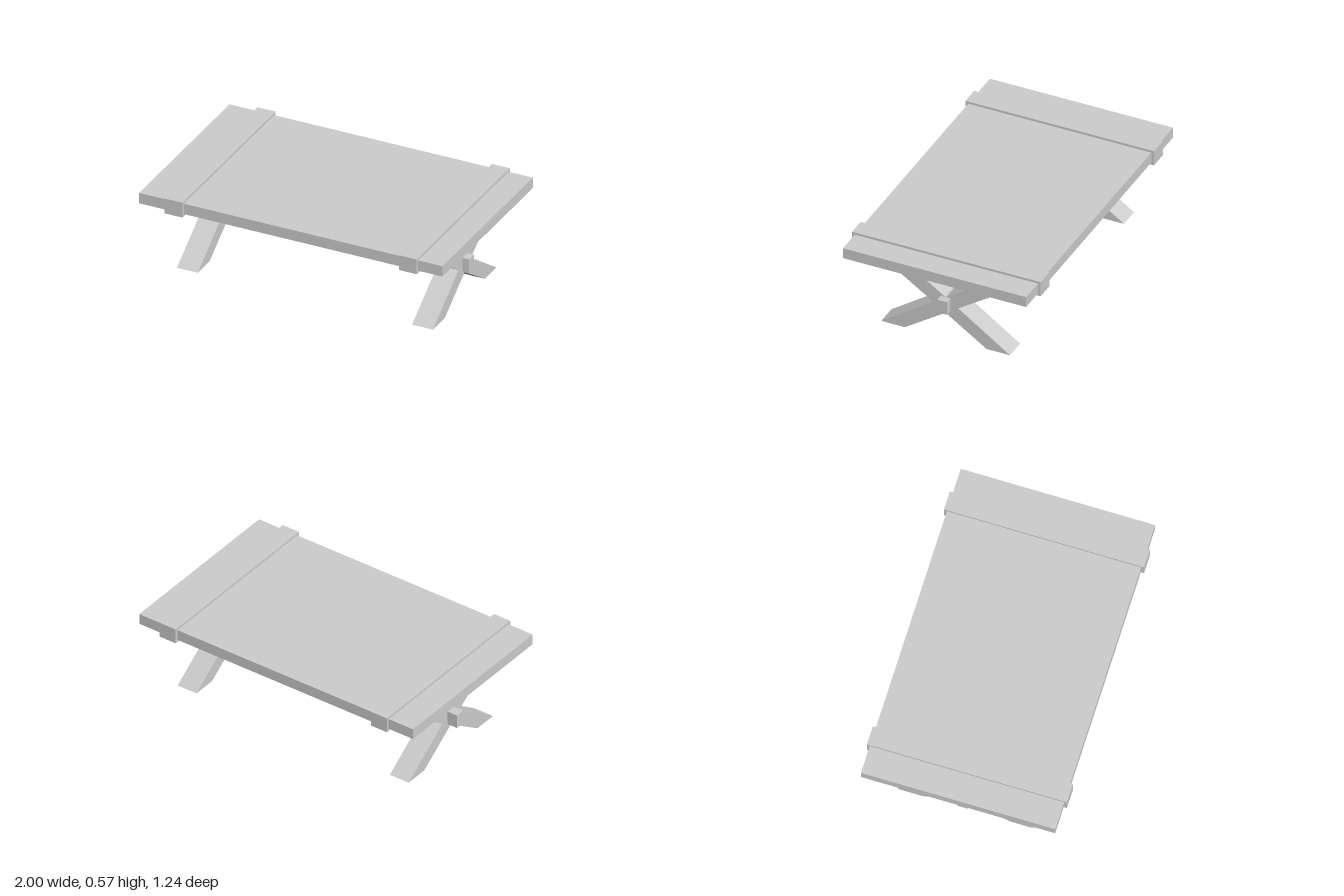
import * as THREE from 'three';

export function createModel() {
  const model = new THREE.Group();
  const grey = new THREE.MeshStandardMaterial({ color: 0xcccccc });
  grey.name = 'light grey';

  function add(name, geometry, x, y, z) {
    const mesh = new THREE.Mesh(geometry, grey);
    mesh.name = name;
    mesh.position.set(x, y, z);
    model.add(mesh);
  }

  // Table top
  add('tableTop', new THREE.BoxGeometry(2, 0.07, 1.2), 0, 0.52, 0);

  // Long beam through both crossed legs
  add('stretcher', new THREE.BoxGeometry(1.8, 0.09, 0.064), -0.006, 0.246, 0);

  // Crossed legs: half outline of the X as (z, y), mirrored to the other side
  const half = [[0, 0.18], [0.267, 0], [0.422, 0], [0.082, 0.235], [0.464, 0.488], [0.295, 0.488], [0, 0.29]];
  const mirrored = half.slice(1, -1).reverse().map(([z, y]) => [-z, y]);
  const outline = new THREE.Shape([...half, ...mirrored].map(([z, y]) => new THREE.Vector2(z, y)));
  const legWidth = 0.138;
  const legGeometry = new THREE.ExtrudeGeometry(outline, { depth: legWidth, bevelEnabled: false });
  legGeometry.translate(0, 0, -legWidth / 2).rotateY(-Math.PI / 2);

  // Each end has a pair of crossed legs and a band around the top
  for (const [side, legX, bandX] of [['right', -0.77, -0.764], ['left', 0.78, 0.78]]) {
    add(side + 'CrossedLegs', legGeometry, legX, 0, 0);
    add(side + 'Band', new THREE.BoxGeometry(0.118, 0.1, 1.236), bandX, 0.52, 0);
  }

  return model;
}
